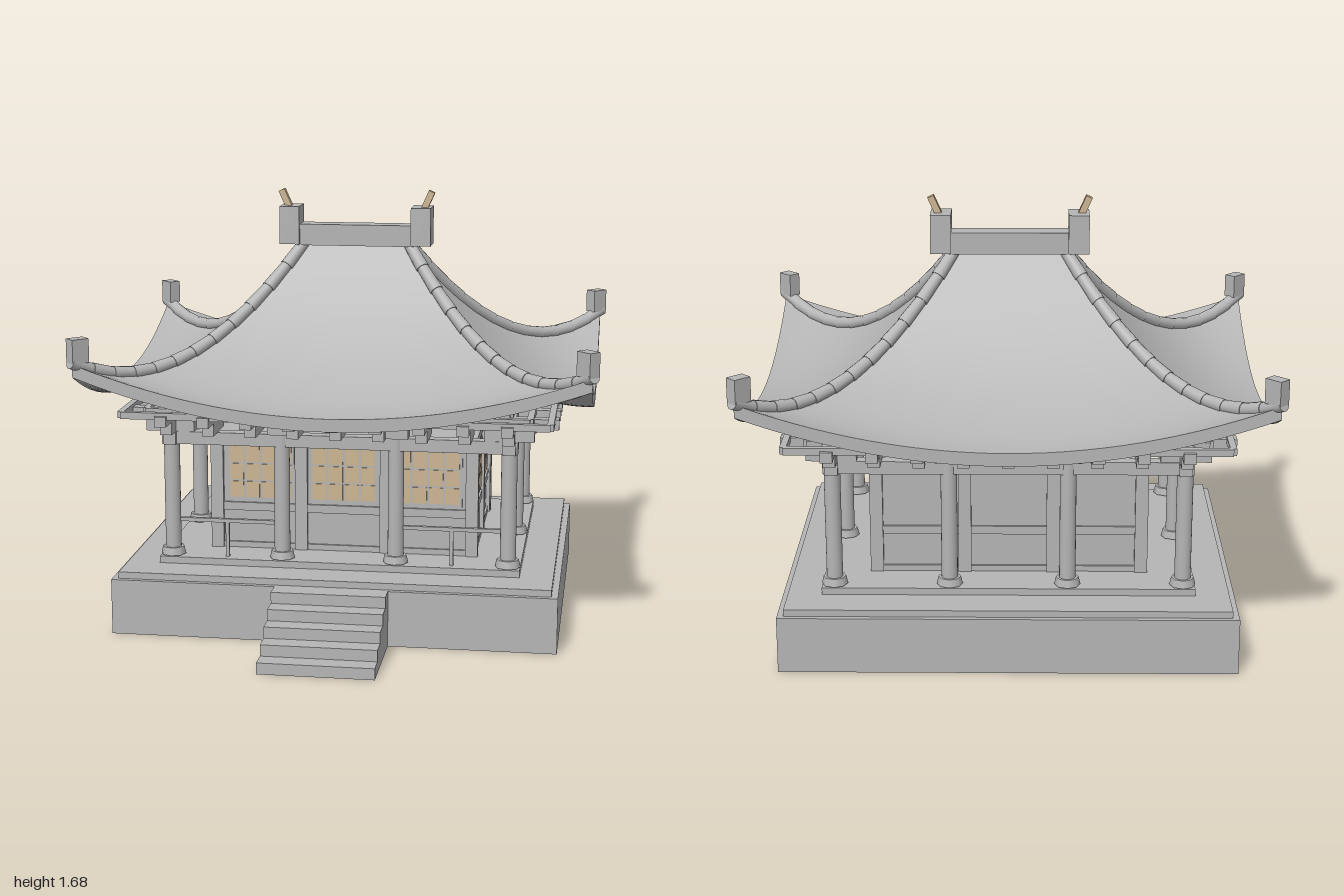
import * as THREE from 'three';

const stone = new THREE.MeshStandardMaterial({ color: 0xb5b5b5 });
stone.name = 'grey stone';
const paper = new THREE.MeshStandardMaterial({ color: 0xcdb592 });
paper.name = 'warm tan';

export function createModel() {
  const root = new THREE.Group();
  root.name = 'pavilion';
  const hall = new THREE.Group(); // everything is laid out about the hall's own centre
  hall.name = 'hall';
  hall.position.z = -0.135;
  root.add(hall);

  const add = (name, geo, x, y, z, mat = stone, parent = hall) => {
    const m = new THREE.Mesh(geo, mat);
    m.name = name;
    m.position.set(x, y, z);
    parent.add(m);
    return m;
  };
  // box given by centre x/z and bottom/top heights
  const box = (name, x, z, w, d, y0, y1, mat, parent) =>
    add(name, new THREE.BoxGeometry(w, y1 - y0, d), x, (y0 + y1) / 2, z, mat, parent);

  // Platform and stairs
  box('platform', 0, 0, 1.73, 1.4, 0, 0.219);
  box('platformEdge', 0, 0, 1.68, 1.36, 0.219, 0.245);
  box('floor', 0, 0, 1.42, 1.07, 0.245, 0.272);
  for (let i = 0; i < 5; i++)
    box('step', 0, 1.0375 - i * 0.075, 0.44, 0.075, 0, 0.044 * (i + 1));

  // Columns around the veranda
  const CX = 0.662, CZ = 0.495;
  const columns = [];
  for (const x of [-CX, -0.224, 0.224, CX]) for (const z of [-CZ, CZ]) columns.push([x, z]);
  for (const x of [-CX, CX]) columns.push([x, 0]);
  for (const [x, z] of columns) {
    add('column', new THREE.CylinderGeometry(0.031, 0.031, 0.51, 20), x, 0.525, z);
    add('columnFoot', new THREE.CylinderGeometry(0.043, 0.05, 0.03, 8), x, 0.292, z);
  }
  for (const s of [-1, 1]) {
    box('longBeam', 0, s * CZ, 1.39, 0.05, 0.727, 0.777);
    box('sideBeam', s * CX, 0, 0.05, 1.07, 0.727, 0.777);
  }

  // Bracket arms and rings under the eaves
  const crossArm = (x, z, alongX) => {
    for (const [reach, y0, y1] of [[0.095, 0.777, 0.83], [0.187, 0.828, 0.868]])
      box('bracketArm', x, z, alongX ? reach * 2 : 0.046, alongX ? 0.046 : reach * 2, y0, y1);
  };
  for (const s of [-1, 1]) {
    for (let i = -4; i <= 4; i++) crossArm(i * 0.1655, s * CZ, false);
    for (let i = -3; i <= 3; i++) crossArm(s * CX, i * 0.165, true);
    for (const x of [-0.224, 0.224]) box('capBlock', x, s * CZ, 0.1, 0.08, 0.777, 0.83);
    for (const off of [0, 0.08, 0.16]) {
      box('bracketRail', 0, s * (CZ + off), 2 * (CX + off), 0.025, 0.853, 0.88);
      box('bracketRail', s * (CX + off), 0, 0.025, 2 * (CZ + off), 0.853, 0.88);
    }
  }

  // Room with timber posts and rails
  const WX = 0.515, WZ = 0.355;
  box('room', 0, 0, 2 * WX, 2 * WZ, 0.272, 0.735);
  // one wall face, built facing +z with its surface at z = 0
  const wall = (half, posts, windows, angle, x, z) => {
    const g = new THREE.Group();
    g.name = 'wall';
    g.rotation.y = angle;
    g.position.set(x, 0, z);
    hall.add(g);
    for (const p of posts) box('wallPost', p, 0, 0.05, 0.034, 0.272, 0.735, stone, g);
    for (const [y0, y1] of [[0.272, 0.295], [0.425, 0.458], [0.705, 0.735]])
      box('wallRail', 0, 0, 2 * half, 0.018, y0, y1, stone, g);
    for (const w of windows) {
      box('windowFrame', w, 0.001, 0.272, 0.008, 0.468, 0.702, stone, g);
      for (let c = 0; c < 4; c++) for (let r = 0; r < 3; r++)
        box('windowPane', w + (c - 1.5) * 0.0645, 0.004, 0.056, 0.008,
          0.48 + r * 0.072, 0.545 + r * 0.072, paper, g);
    }
  };
  const longPosts = [-0.51, -0.17, 0.17, 0.51], sidePosts = [-0.345, 0, 0.345];
  wall(WX, longPosts, [-0.335, 0, 0.335], 0, 0, WZ);
  wall(WX, longPosts, [], Math.PI, 0, -WZ);
  wall(WZ, sidePosts, [-0.167, 0.167], Math.PI / 2, WX, 0);
  wall(WZ, sidePosts, [-0.167, 0.167], -Math.PI / 2, -WX, 0);

  // Front railings
  for (const s of [-1, 1]) {
    box('handrail', s * 0.443, CZ, 0.42, 0.016, 0.41, 0.425);
    box('railingPost', s * 0.443, CZ, 0.014, 0.014, 0.272, 0.412);
  }

  // Curved roof: four sweeping slopes with upturned corners
  const RX = 0.21, EX = 0.765, EZ = 0.77, THICK = 0.05;
  const roofY = (s, t) => 0.9 + 0.56 * (1 - t) ** 2 + 0.18 * t ** 3 * s * s;
  const surface = (fn, nu, nv) => {
    const pos = [], idx = [];
    for (let i = 0; i <= nv; i++) for (let j = 0; j <= nu; j++) pos.push(...fn((2 * j) / nu - 1, i / nv));
    for (let i = 0; i < nv; i++) for (let j = 0; j < nu; j++) {
      const a = i * (nu + 1) + j, b = a + nu + 1;
      idx.push(a, b, a + 1, a + 1, b, b + 1);
    }
    const g = new THREE.BufferGeometry();
    g.setAttribute('position', new THREE.Float32BufferAttribute(pos, 3));
    g.setIndex(idx);
    g.computeVertexNormals();
    return g;
  };
  for (const m of [1, -1]) for (const gable of [false, true]) {
    const point = (s, t, drop = 0) => {
      const y = roofY(s, t) - drop;
      return gable ? [m * (RX + EX * t), y, -m * EZ * t * s] : [m * (RX + EX * t) * s, y, m * EZ * t];
    };
    add('roofSlope', surface((s, t) => point(s, t), 28, 24), 0, 0, 0);
    add('roofUnderside', surface((s, t) => point(-s, t, THICK), 28, 24), 0, 0, 0);
    add('eaveEdge', surface((s, v) => point(s, 1, v * THICK), 28, 1), 0, 0, 0);
  }

  // Hip ridges of overlapping round tiles, ending in corner blocks
  const up = new THREE.Vector3(0, 1, 0);
  const TILES = 12;
  for (const sx of [-1, 1]) for (const sz of [-1, 1]) {
    const hip = (t) => new THREE.Vector3(sx * (RX + EX * t), roofY(1, t) + 0.008, sz * EZ * t);
    for (let i = 0; i < TILES; i++) {
      const a = hip(i / TILES), b = hip((i + 1) / TILES);
      const dir = b.clone().sub(a);
      const tile = add('hipTile', new THREE.CylinderGeometry(0.027, 0.023, dir.length() + 0.012, 12), 0, 0, 0);
      tile.position.copy(a.add(b).multiplyScalar(0.5));
      tile.quaternion.setFromUnitVectors(up, dir.normalize());
    }
    const corner = box('cornerBlock', sx * 0.957, sz * 0.752, 0.07, 0.05, 1.085, 1.178);
    corner.rotation.y = -sx * sz * Math.PI / 4;
  }

  // Main ridge with end blocks and tilted finials
  box('mainRidge', 0, 0, 0.47, 0.088, 1.455, 1.54);
  for (const s of [-1, 1]) {
    box('ridgeEnd', s * 0.266, 0, 0.08, 0.122, 1.46, 1.612);
    const finial = add('finial', new THREE.BoxGeometry(0.026, 0.08, 0.03), s * 0.289, 1.638, 0, paper);
    finial.rotation.z = -s * 0.42;
  }
  return root;
}
